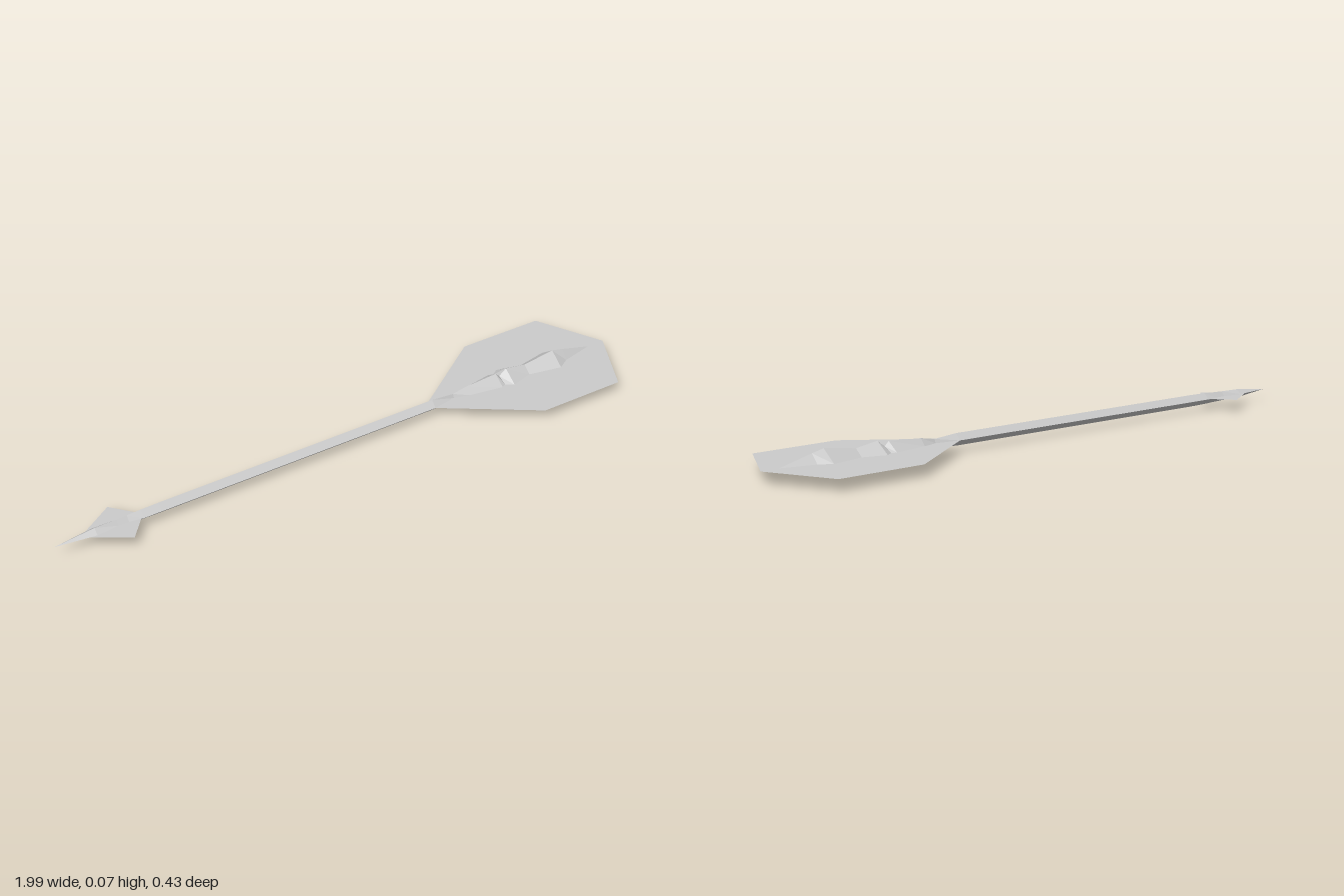
import * as THREE from 'three';

const CENTRE_Y = 0.038;

// Four-sided diamond body lofted along x; each section is [x, half height, half depth]
function diamondLoft(sections) {
  const rings = sections.map(([x, h, d]) => [[x, h, 0], [x, 0, d], [x, -h, 0], [x, 0, -d]]);
  const pos = [];
  for (let i = 0; i < rings.length - 1; i++) {
    for (let j = 0; j < 4; j++) {
      const k = (j + 1) % 4;
      const a = rings[i][j], b = rings[i][k], c = rings[i + 1][k], d = rings[i + 1][j];
      pos.push(...a, ...b, ...c, ...a, ...c, ...d);
    }
  }
  const g = new THREE.BufferGeometry();
  g.setAttribute('position', new THREE.Float32BufferAttribute(pos, 3));
  g.computeVertexNormals();
  return g;
}

// Flat plate in the xz plane, mirrored across z = 0; half outline is [x, z]
function flatPlate(half) {
  const mirrored = half.map(([x, z]) => [x, -z]).reverse().filter(([, z]) => z !== 0);
  const pts = [...half, ...mirrored].map(([x, z]) => new THREE.Vector2(x, z));
  return new THREE.ShapeGeometry(new THREE.Shape(pts)).rotateX(-Math.PI / 2);
}

export function createModel() {
  const model = new THREE.Group();
  model.name = 'spear';
  const metal = new THREE.MeshStandardMaterial({ color: 0xcccccc, flatShading: true, side: THREE.DoubleSide });
  metal.name = 'pale grey';

  const add = (name, geometry) => {
    const mesh = new THREE.Mesh(geometry, metal);
    mesh.name = name;
    mesh.position.y = CENTRE_Y;
    model.add(mesh);
  };

  // Long shaft with a needle tip at the tail
  add('shaft', diamondLoft([
    [-0.99, 0, 0], [-0.86, 0.014, 0.019], [-0.79, 0.015, 0.011], [-0.755, 0.016, 0.012],
    [-0.71, 0.018, 0.02], [-0.65, 0.019, 0.02], [0.32, 0.019, 0.02], [0.4, 0.012, 0.006],
  ]));

  // Ridged core: collar, waist and pointed tip
  add('headCore', diamondLoft([
    [0.4, 0.012, 0.006], [0.45, 0.021, 0.02], [0.565, 0.028, 0.04], [0.58, 0.014, 0.033],
    [0.605, 0.034, 0.05], [0.68, 0.022, 0.028], [0.79, 0.037, 0.05], [0.83, 0.028, 0.026],
    [0.94, 0, 0],
  ]));

  // Thin flat blades
  add('headBlade', flatPlate([[0.32, 0.02], [0.6, 0.217], [0.89, 0.217], [1, 0]]));
  add('tailBlade', flatPlate([[-0.885, 0.014], [-0.775, 0.085], [-0.72, 0.02]]));

  return model;
}
